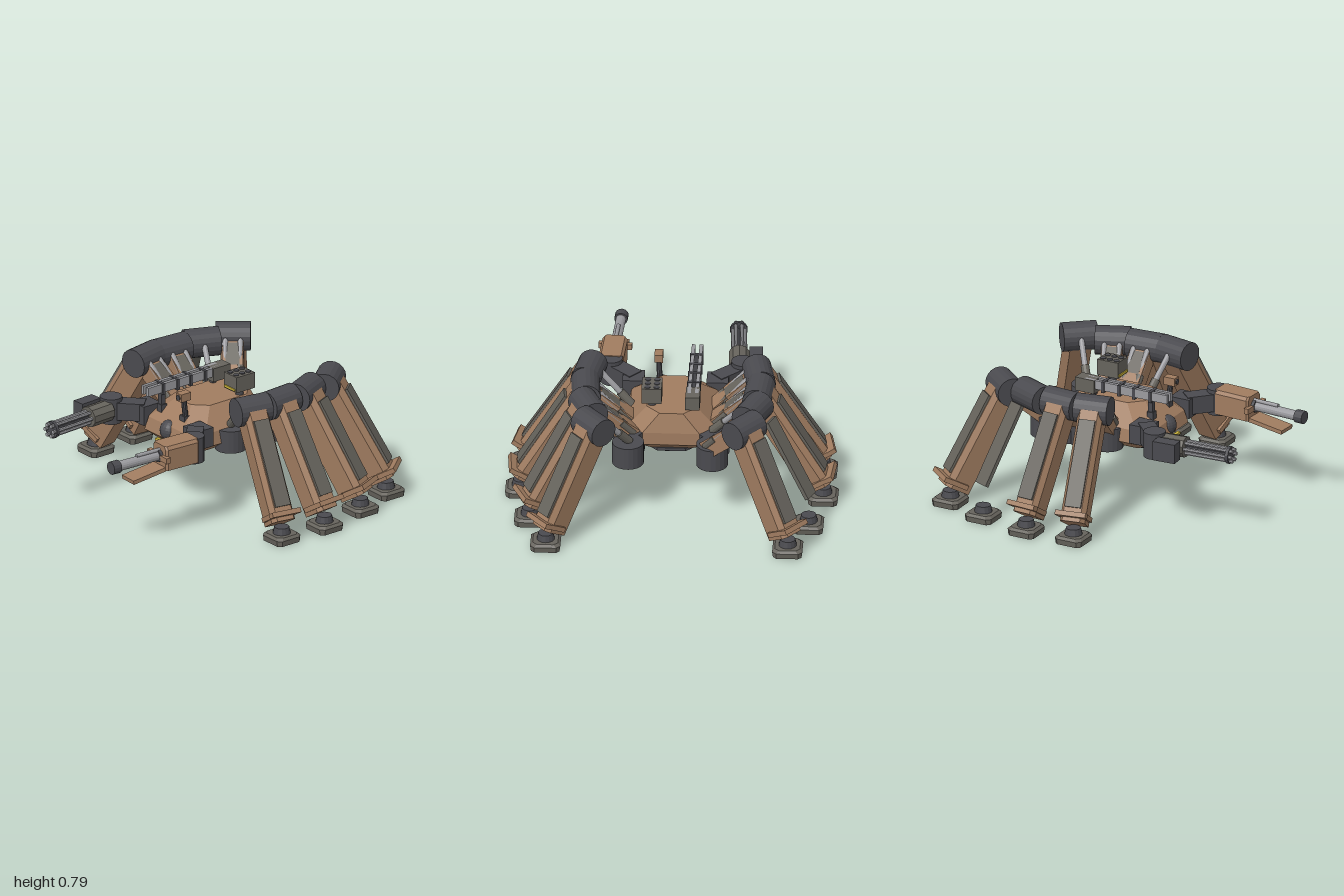
import * as THREE from 'three';
import { ConvexGeometry } from 'three/addons/geometries/ConvexGeometry.js';

const paint = (color) => new THREE.MeshStandardMaterial({ color, flatShading: true });
const tan = paint(0xa07c60), dark = paint(0x4a4a4f), grey = paint(0x66635c);
const steel = paint(0x9a9a9e), yellow = paint(0xd0b83c);
const V = (x, y, z) => new THREE.Vector3(x, y, z);

function add(parent, name, geometry, material, x = 0, y = 0, z = 0) {
  const mesh = new THREE.Mesh(geometry, material);
  mesh.name = name;
  mesh.position.set(x, y, z);
  parent.add(mesh);
  return mesh;
}
const box = (p, name, mat, w, h, d, x, y, z) => add(p, name, new THREE.BoxGeometry(w, h, d), mat, x, y, z);

// Cylinder running between two points
function rod(p, name, mat, a, b, r, sides = 12, r2 = r) {
  const dir = b.clone().sub(a), mid = a.clone().add(b).multiplyScalar(0.5);
  const m = add(p, name, new THREE.CylinderGeometry(r2, r, dir.length(), sides), mat, mid.x, mid.y, mid.z);
  m.quaternion.setFromUnitVectors(V(0, 1, 0), dir.normalize());
  return m;
}

// Box running between two points, kept level sideways
function beam(p, name, mat, a, b, w, h) {
  const mid = a.clone().add(b).multiplyScalar(0.5);
  const m = box(p, name, mat, w, h, a.distanceTo(b), mid.x, mid.y, mid.z);
  m.rotation.order = 'YXZ';
  const d = b.clone().sub(a);
  m.rotation.y = Math.atan2(d.x, d.z);
  m.rotation.x = -Math.atan2(d.y, Math.hypot(d.x, d.z));
  return m;
}

// Rectangle with cut corners at one height
function ring(y, hx, z0, z1, c) {
  const pts = [];
  for (const s of [-1, 1])
    pts.push(V(s * hx, y, z0 + c), V(s * (hx - c), y, z0), V(s * hx, y, z1 - c), V(s * (hx - c), y, z1));
  return pts;
}
const hull = (p, name, mat, rings, x = 0, y = 0, z = 0) =>
  add(p, name, new ConvexGeometry(rings.flat()), mat, x, y, z);

function buildBody(g) {
  hull(g, 'hull', tan, [
    ring(0.36, 0.19, -0.28, 0.2, 0.07), ring(0.42, 0.275, -0.35, 0.27, 0.09),
    ring(0.5, 0.26, -0.35, 0.25, 0.09), ring(0.62, 0.15, -0.32, 0.12, 0.08)]);
  hull(g, 'bellyPlate', dark, [ring(0.35, 0.125, -0.3, 0.26, 0.04), ring(0.37, 0.125, -0.3, 0.26, 0.04)]);
  hull(g, 'bellyKeel', dark, [ring(0.325, 0.1, -0.26, 0.23, 0.04), ring(0.35, 0.12, -0.28, 0.25, 0.04)]);
  add(g, 'eye', new THREE.SphereGeometry(0.065, 16, 12), dark, 0, 0.46, 0.22);
  box(g, 'eyeSocket', grey, 0.15, 0.03, 0.08, 0, 0.375, 0.235);
  box(g, 'warningStrip', yellow, 0.14, 0.015, 0.02, 0, 0.395, 0.27);
}

// Leg: local +x points outward from the knee
function buildLeg(g, s, [kx, kz, fx, fz], hasUpper, hasShell) {
  const kneeY = 0.7, drop = 0.63, reach = Math.hypot(fx - kx, fz - kz);
  const leg = new THREE.Group();
  leg.name = 'leg';
  leg.position.set(s * kx, 0, kz);
  leg.rotation.y = Math.atan2(-(fz - kz), s * (fx - kx));
  g.add(leg);
  rod(leg, 'knee', dark, V(0, kneeY, -0.105), V(0, kneeY, 0.105), 0.088, 20);
  rod(leg, 'hip', dark, V(-0.26, 0.36, 0), V(-0.26, 0.5, 0), 0.095, 20);
  for (const z of hasUpper ? [-0.045, 0.045] : [0]) {
    rod(leg, 'pistonSleeve', grey, V(-0.27, 0.5, z), V(-0.19, 0.585, z), 0.026);
    rod(leg, 'pistonRod', steel, V(-0.19, 0.585, z), V(-0.07, 0.71, z), 0.018);
  }
  if (hasUpper) {
    beam(leg, 'thigh', tan, V(-0.27, 0.47, 0), V(-0.03, 0.68, 0), 0.125, 0.11);
    beam(leg, 'thighPanel', grey, V(-0.24, 0.555, 0), V(-0.09, 0.69, 0), 0.085, 0.02);
  }

  // Shin hangs along local -y, its outer face on +x
  const shin = new THREE.Group(), len = Math.hypot(reach, drop);
  shin.name = 'shin';
  shin.position.y = kneeY;
  shin.rotation.z = Math.atan2(reach, drop);
  leg.add(shin);
  box(shin, 'shinPanel', grey, 0.025, len * 0.72, 0.1, 0.088, -len * 0.47, 0);
  if (hasShell) {
    const section = new THREE.Shape([[-0.08, -0.065], [0.05, -0.078], [0.085, -0.055],
      [0.085, 0.055], [0.05, 0.078], [-0.08, 0.065]].map(([x, y]) => new THREE.Vector2(x, y)));
    const shell = add(shin, 'shinShell',
      new THREE.ExtrudeGeometry(section, { depth: len - 0.06, bevelEnabled: false }), tan, 0, -0.02, 0);
    shell.rotation.x = Math.PI / 2;
    box(shin, 'ankleGuard', tan, 0.05, 0.03, 0.19, 0.1, -len + 0.08, 0);
    for (const z of [-1, 1]) box(shin, 'ankleRim', tan, 0.13, 0.03, 0.02, 0.02, -len + 0.08, z * 0.08);
  }

  // Foot stays square to the ground plan
  const foot = new THREE.Group();
  foot.name = 'foot';
  foot.position.set(s * fx, 0, fz);
  g.add(foot);
  hull(foot, 'sole', grey, [ring(0, 0.085, -0.085, 0.085, 0.02), ring(0.035, 0.09, -0.09, 0.09, 0.025),
    ring(0.05, 0.075, -0.075, 0.075, 0.025)]);
  rod(foot, 'ankle', dark, V(0, 0.045, 0), V(0, 0.09, 0), 0.055, 14, 0.045);
}

function buildArm(g, s) {
  const arm = new THREE.Group();
  arm.name = s > 0 ? 'leftArm' : 'rightArm';
  g.add(arm);
  box(arm, 'shoulder', dark, 0.13, 0.12, 0.13, s * 0.25, 0.5, 0.21);
  beam(arm, 'upperArm', dark, V(s * 0.24, 0.51, 0.22), V(s * 0.39, 0.51, 0.36), 0.1, 0.11);
  rod(arm, 'elbow', dark, V(s * 0.39, 0.43, 0.36), V(s * 0.39, 0.59, 0.36), 0.067, 18);
  return arm;
}

function buildCannon(arm) {
  const gun = new THREE.Group();
  gun.name = 'cannon';
  gun.position.set(0.395, 0.52, 0.36);
  gun.rotation.y = -0.06;
  arm.add(gun);
  hull(gun, 'housing', tan, [ring(-0.075, 0.075, 0.01, 0.25, 0.012), ring(0.055, 0.075, 0.01, 0.25, 0.012),
    ring(0.075, 0.06, 0.01, 0.25, 0.012)]);
  box(gun, 'sideLugs', tan, 0.2, 0.035, 0.03, 0, 0.0, 0.255);
  beam(gun, 'lowerGuard', tan, V(0, -0.065, 0.22), V(0, -0.1, 0.48), 0.12, 0.025);
  rod(gun, 'barrelCollar', dark, V(0, 0.005, 0.24), V(0, 0.005, 0.27), 0.04, 16);
  rod(gun, 'barrel', steel, V(0, 0.005, 0.24), V(0, 0.005, 0.57), 0.03, 16);
  rod(gun, 'recoilTube', steel, V(0, 0.04, 0.25), V(0, 0.04, 0.42), 0.012);
  rod(gun, 'muzzle', dark, V(0, 0.005, 0.55), V(0, 0.005, 0.605), 0.04, 14);
}

function buildRotaryGun(arm) {
  const gun = new THREE.Group();
  gun.name = 'rotaryGun';
  gun.position.set(-0.37, 0.515, 0.4);
  gun.rotation.y = 0.06;
  arm.add(gun);
  box(gun, 'ammoBox', dark, 0.08, 0.12, 0.145, -0.1, 0, 0.075);
  rod(gun, 'receiver', grey, V(0, 0, 0), V(0, 0, 0.16), 0.065, 10);
  for (let i = 0; i < 6; i++) {
    const a = (i * Math.PI) / 3, x = 0.036 * Math.cos(a), y = 0.036 * Math.sin(a);
    rod(gun, 'barrel', steel, V(x, y, 0.15), V(x, y, 0.475), 0.012, 8);
  }
  rod(gun, 'spindle', dark, V(0, 0, 0.15), V(0, 0, 0.45), 0.012, 8);
  rod(gun, 'barrelClamp', dark, V(0, 0, 0.435), V(0, 0, 0.455), 0.053, 14);
}

function buildRoofGear(g) {
  // Twin-rail gun
  const rail = new THREE.Group();
  rail.name = 'railGun';
  g.add(rail);
  box(rail, 'breech', grey, 0.085, 0.085, 0.13, -0.125, 0.68, -0.24);
  for (const x of [-0.148, -0.102]) box(rail, 'rail', steel, 0.022, 0.055, 0.56, x, 0.695, 0.035);
  for (const z of [-0.12, -0.01, 0.09, 0.2]) box(rail, 'railClamp', dark, 0.08, 0.07, 0.02, -0.125, 0.69, z);
  for (const z of [-0.2, 0.19]) {
    beam(rail, 'post', dark, V(-0.12, 0.5, z), V(-0.12, 0.67, z), 0.03, 0.03);
    box(rail, 'postFoot', dark, 0.045, 0.05, 0.04, -0.12, 0.56, z);
  }
  // Missile pod with six tubes
  const pod = new THREE.Group();
  pod.name = 'missilePod';
  g.add(pod);
  box(pod, 'podCase', grey, 0.12, 0.1, 0.14, 0.12, 0.71, -0.21);
  box(pod, 'podStripe', yellow, 0.1, 0.014, 0.01, 0.12, 0.675, -0.138);
  rod(pod, 'podPost', dark, V(0.12, 0.6, -0.21), V(0.12, 0.67, -0.21), 0.025);
  for (const x of [0.09, 0.145]) for (const z of [-0.255, -0.21, -0.165])
    rod(pod, 'tube', dark, V(x, 0.755, z), V(x, 0.764, z), 0.018, 12);
  // Sensor mast
  const mast = new THREE.Group();
  mast.name = 'sensorMast';
  g.add(mast);
  rod(mast, 'mast', dark, V(0.09, 0.5, 0.17), V(0.1, 0.69, 0.2), 0.017, 10);
  box(mast, 'mastFoot', dark, 0.045, 0.05, 0.05, 0.09, 0.55, 0.18);
  box(mast, 'sensor', tan, 0.05, 0.05, 0.075, 0.1, 0.705, 0.2);
  rod(mast, 'lens', dark, V(0.1, 0.705, 0.235), V(0.1, 0.705, 0.245), 0.016, 12);
}

export function createModel() {
  const g = new THREE.Group();
  g.name = 'spiderWalker';
  buildBody(g);
  // knee x, knee z, foot x, foot z
  const legs = [[0.505, 0.01, 0.88, 0.08], [0.515, -0.2, 0.9, -0.23],
    [0.49, -0.41, 0.83, -0.56], [0.45, -0.62, 0.72, -0.845]];
  const uppers = { 1: [false, true, true, false], '-1': [true, true, false, true] };
  for (const s of [1, -1])
    legs.forEach((l, i) => buildLeg(g, s, l, uppers[s][i], !(s < 0 && i === 2)));
  buildCannon(buildArm(g, 1));
  buildRotaryGun(buildArm(g, -1));
  buildRoofGear(g);
  return g;
}
